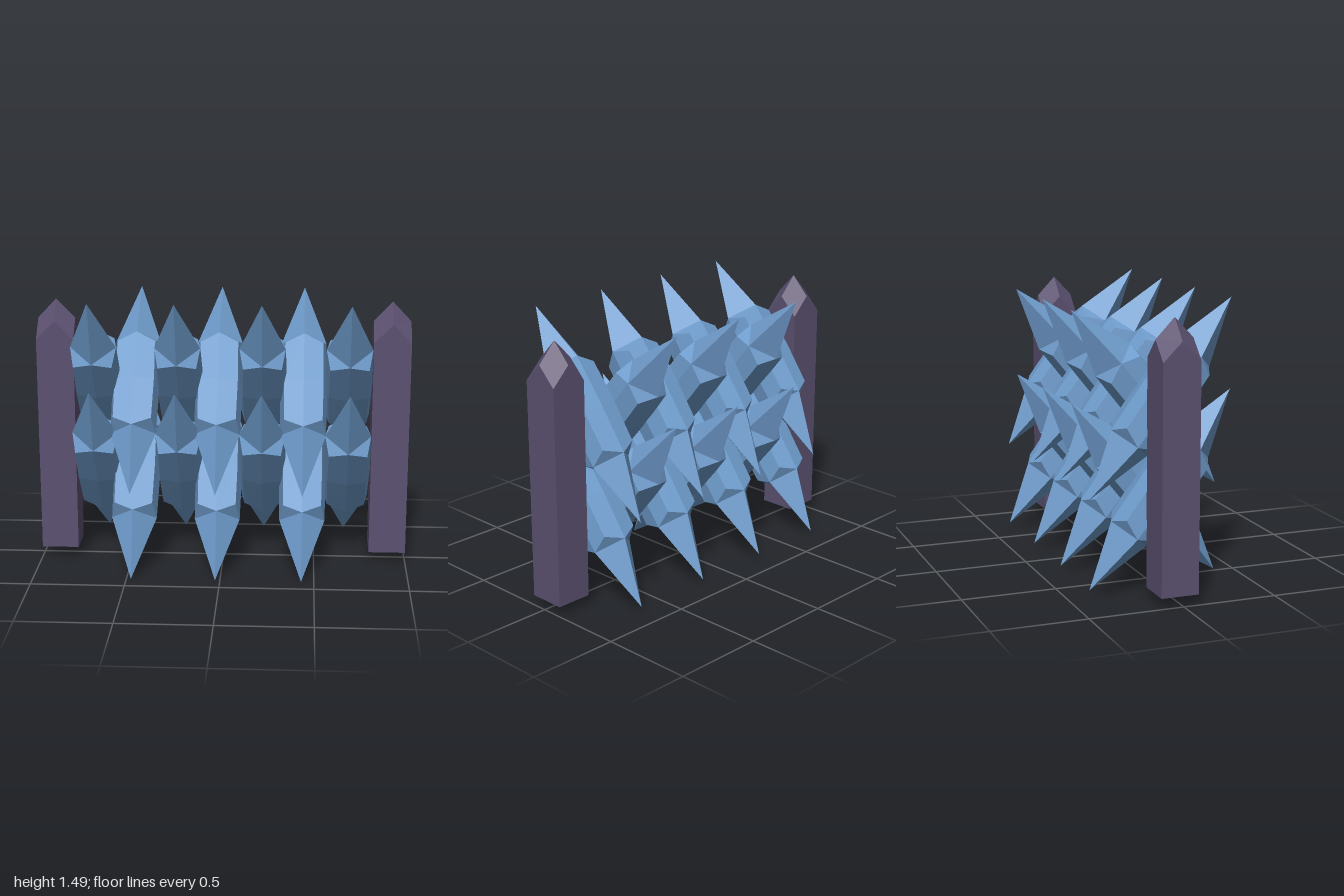
import * as THREE from 'three';

// Eight-sided ring: four side midpoints and four corners, each with its own reach and height
function ring(mid, corner, midY, cornerY) {
  const pts = [];
  for (let i = 0; i < 8; i++) {
    const a = (i * Math.PI) / 4;
    const isCorner = i % 2 === 1;
    const r = isCorner ? corner * Math.SQRT2 : mid;
    pts.push([Math.cos(a) * r, isCorner ? cornerY : midY, Math.sin(a) * r]);
  }
  return pts;
}

// Faceted bar through a stack of rings, closed by a four-sided point at each end
function facetedBar(rings, bottomY, topY) {
  const pos = [];
  const tri = (a, b, c) => pos.push(...a, ...b, ...c);
  const first = rings[0];
  const last = rings[rings.length - 1];
  // Body
  for (let k = 0; k < rings.length - 1; k++) {
    const lo = rings[k], hi = rings[k + 1];
    for (let i = 0; i < 8; i++) {
      const j = (i + 1) % 8;
      tri(lo[i], hi[i], lo[j]);
      tri(hi[i], hi[j], lo[j]);
    }
  }
  // Point faces between the midpoints, with a small facet at each corner
  for (let i = 0; i < 8; i += 2) {
    const c = i + 1, j = (i + 2) % 8;
    tri(last[i], [0, topY, 0], last[j]);
    tri(last[i], last[j], last[c]);
    tri(first[i], first[j], [0, bottomY, 0]);
    tri(first[i], first[c], first[j]);
  }
  const geo = new THREE.BufferGeometry();
  geo.setAttribute('position', new THREE.Float32BufferAttribute(pos, 3));
  geo.computeVertexNormals();
  return geo;
}

export function createModel() {
  const model = new THREE.Group();
  model.name = 'spikedBarrier';

  const stakeBlue = new THREE.MeshStandardMaterial({ color: 0x6f9ccc });
  stakeBlue.name = 'stakeBlue';
  const postPurple = new THREE.MeshStandardMaterial({ color: 0x5b5070 });
  postPurple.name = 'postPurple';

  // End posts with shallow pyramid caps
  const postGeo = facetedBar(
    [ring(0.1, 0.1, 0.06, 0.06), ring(0.1, 0.1, 1.335, 1.235)], 0.06, 1.44);
  for (const side of [-1, 1]) {
    const post = new THREE.Mesh(postGeo, postPurple);
    post.name = side > 0 ? 'leftPost' : 'rightPost';
    post.position.set(side * 0.9, 0, -0.02);
    model.add(post);
  }

  // Double-ended stakes, slightly swollen in the middle
  const stakeGeo = facetedBar([
    ring(0.122, 0.102, -0.275, -0.228),
    ring(0.128, 0.106, 0, 0),
    ring(0.122, 0.102, 0.275, 0.228),
  ], -0.624, 0.624);

  // Two crossing sets: one leans forward, the other backward
  const sets = [
    { name: 'forwardStake', xs: [-0.682, -0.236, 0.214, 0.672], ys: [1.0, 0.53], tilt: 0.66 },
    { name: 'backwardStake', xs: [-0.476, -0.026, 0.432], ys: [0.96, 0.483], tilt: -0.697 },
  ];
  for (const { name, xs, ys, tilt } of sets) {
    for (const x of xs) {
      for (const y of ys) {
        const stake = new THREE.Mesh(stakeGeo, stakeBlue);
        stake.name = name;
        stake.position.set(x, y, 0);
        stake.rotation.x = tilt;
        model.add(stake);
      }
    }
  }
  return model;
}
